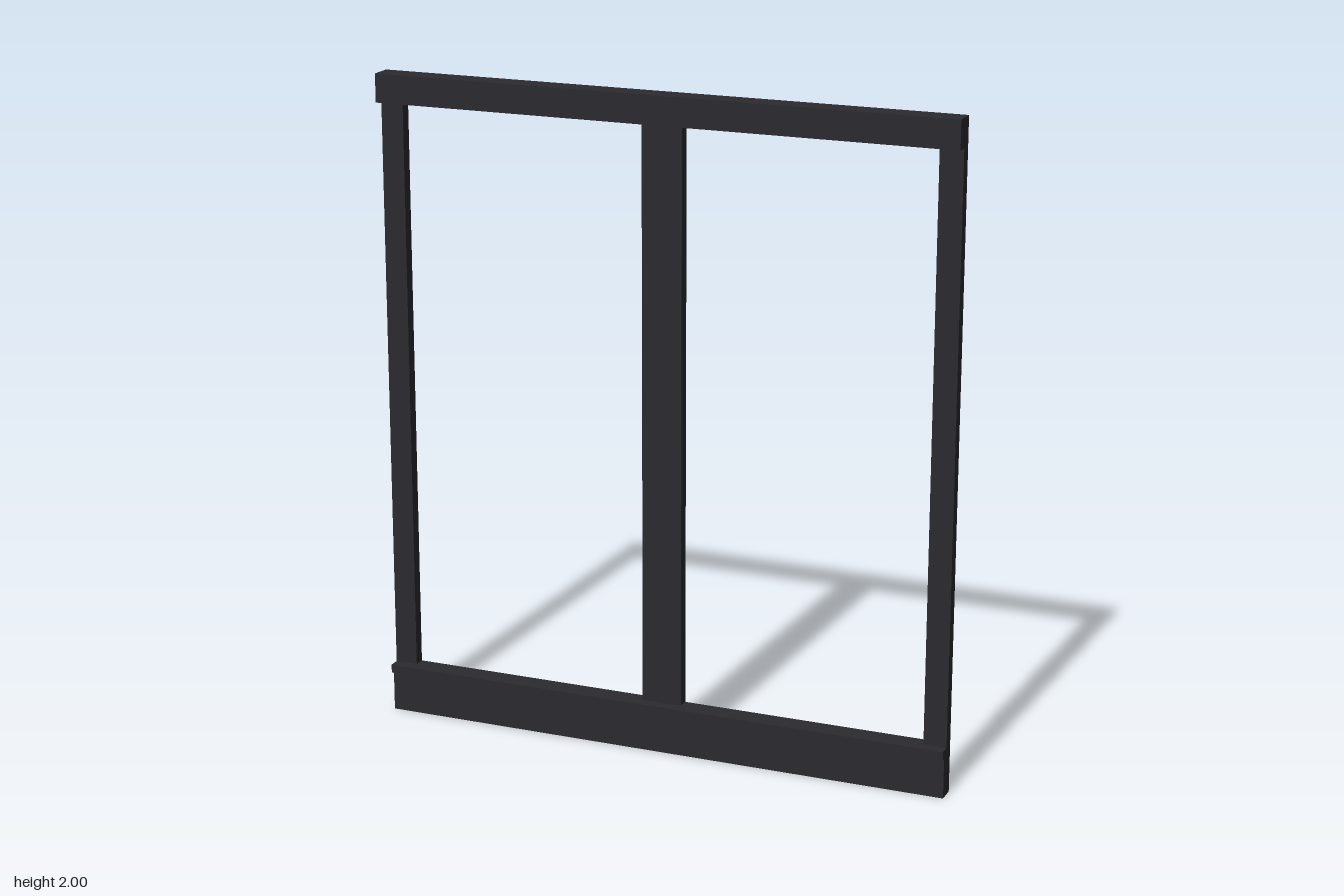
import * as THREE from 'three';

const BACK = -0.035; // every member is flush at the back
const HALF_WIDTH = 0.892;

export function createModel() {
  const group = new THREE.Group();
  group.name = 'windowFrame';
  const material = new THREE.MeshStandardMaterial({ color: 0x2b2a30 });

  // Box given by its extents, running from the back plane to zFront
  const addBar = (name, x0, x1, y0, y1, zFront) => {
    const bar = new THREE.Mesh(new THREE.BoxGeometry(x1 - x0, y1 - y0, zFront - BACK), material);
    bar.name = name;
    bar.position.set((x0 + x1) / 2, (y0 + y1) / 2, (zFront + BACK) / 2);
    group.add(bar);
  };

  // Horizontal members
  addBar('bottomRail', -HALF_WIDTH, HALF_WIDTH, 0, 0.125, 0.02);
  addBar('sillLedge', -HALF_WIDTH, HALF_WIDTH, 0.125, 0.151, 0.034);
  addBar('topRail', -HALF_WIDTH, HALF_WIDTH, 1.914, 2, 0.035);

  // Uprights between sill and top rail
  addBar('leftStile', 0.822, HALF_WIDTH, 0.151, 1.914, 0);
  addBar('rightStile', -HALF_WIDTH, -0.822, 0.151, 1.914, 0);
  addBar('centreMullion', -0.062, 0.062, 0.151, 1.914, 0);

  return group;
}
